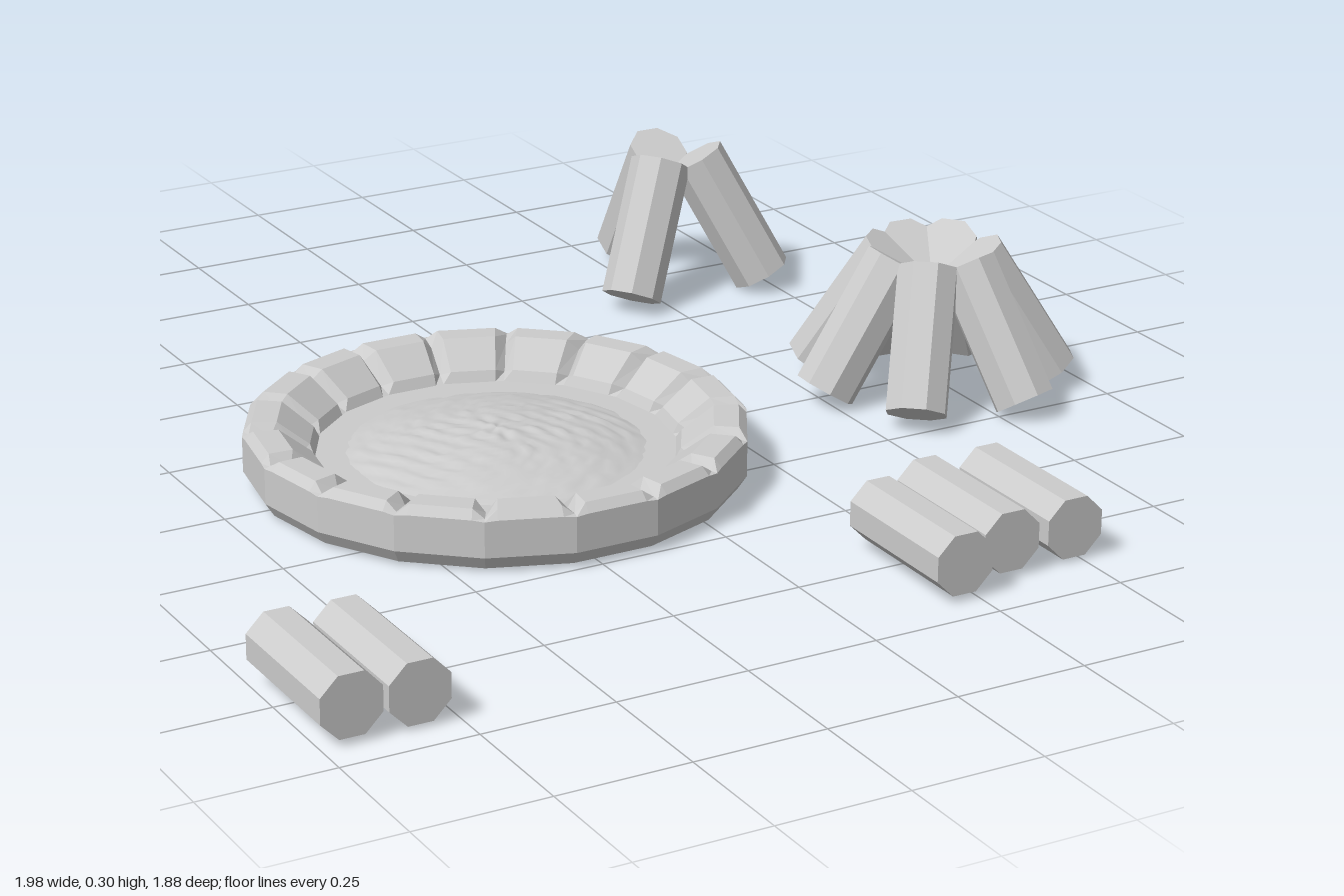
import * as THREE from 'three';

const stoneMat = new THREE.MeshStandardMaterial({ color: 0xcccccc, flatShading: true });
const ashMat = new THREE.MeshStandardMaterial({ color: 0xcccccc });

const LOG_LENGTH = 0.283;
const logGeo = new THREE.CylinderGeometry(0.0606, 0.0606, LOG_LENGTH, 8).rotateY(Math.PI / 8);

function makeLog(name, x, y, z, tilt, yaw) {
  const log = new THREE.Mesh(logGeo, stoneMat);
  log.name = name;
  log.position.set(x, y, z);
  log.rotation.set(tilt, yaw, 0, 'YXZ');
  return log;
}

// Logs leaning together; each angle is the way a foot points (0 = +x, 90 = -z)
function leaningStack(name, cx, cz, topRadius, footRadius, angles) {
  const group = new THREE.Group();
  group.name = name;
  const tilt = Math.asin((footRadius - topRadius) / LOG_LENGTH);
  const mid = (topRadius + footRadius) / 2;
  for (const deg of angles) {
    const a = THREE.MathUtils.degToRad(deg);
    group.add(makeLog('leaningLog', cx + mid * Math.cos(a), 0.149, cz - mid * Math.sin(a), -tilt, a + Math.PI / 2));
  }
  return group;
}

// Rows of logs lying along z: [x, y, z]
function lyingRow(name, spots) {
  const group = new THREE.Group();
  group.name = name;
  for (const [x, y, z] of spots) group.add(makeLog('lyingLog', x, y, z, Math.PI / 2, 0));
  return group;
}

// Ring of bevelled stones with a closed base and floor, swept from two profiles [radius, y]
function stoneRing() {
  const n = 18;
  const base = [[0, 0.004], [0.45, 0.004], [0.467, 0.03]];
  const floor = [[0.335, 0.05], [0, 0.05]];
  const crown = [...base, [0.467, 0.1], [0.452, 0.116], [0.405, 0.116], [0.345, 0.07], ...floor];
  const joint = [...base, [0.467, 0.098], [0.455, 0.1], [0.415, 0.095], [0.36, 0.06], ...floor];
  const columns = [[-0.5, joint], [-0.36, crown], [0.36, crown]];
  const step = (Math.PI * 2) / n;
  const positions = [], index = [];
  for (let i = 0; i < n; i++) {
    for (const [t, profile] of columns) {
      const a = Math.PI / 2 + (i + t) * step;
      const chord = Math.cos(step / 2) / Math.cos(t * step);
      for (const [r, y] of profile) positions.push(r * chord * Math.cos(a), y, r * chord * Math.sin(a));
    }
  }
  const p = crown.length, total = n * columns.length;
  for (let c = 0; c < total; c++) {
    const d = (c + 1) % total;
    for (let k = 0; k < p - 1; k++) {
      const a = c * p + k, b = d * p + k;
      if (k > 0) index.push(a, a + 1, b);
      if (k < p - 2) index.push(b, a + 1, b + 1);
      else index.push(a, a + 1, b);
    }
  }
  const geo = new THREE.BufferGeometry();
  geo.setAttribute('position', new THREE.Float32BufferAttribute(positions, 3));
  geo.setIndex(index);
  geo.computeVertexNormals();
  const mesh = new THREE.Mesh(geo, stoneMat);
  mesh.name = 'stoneRing';
  return mesh;
}

// Low mound with a rough surface that sinks into the floor at its edge
function ashMound() {
  const R = 0.29;
  const geo = new THREE.RingGeometry(0.001, R, 64, 24).rotateX(-Math.PI / 2);
  const pos = geo.attributes.position;
  for (let i = 0; i < pos.count; i++) {
    const x = pos.getX(i), z = pos.getZ(i);
    const f = 1 - (x * x + z * z) / (R * R);
    const bumps = Math.sin(83 * x + 3 * Math.sin(41 * z)) * Math.sin(97 * z + 2 * Math.sin(57 * x))
      + 0.6 * Math.sin(151 * x - 67 * z + 1.3);
    pos.setY(i, 0.046 + 0.042 * f + 0.0028 * bumps * Math.min(1, 4 * f));
  }
  geo.computeVertexNormals();
  const mesh = new THREE.Mesh(geo, ashMat);
  mesh.name = 'ashMound';
  return mesh;
}

export function createModel() {
  const model = new THREE.Group();
  model.name = 'campfireSet';

  const pit = new THREE.Group();
  pit.name = 'firePit';
  pit.position.set(-0.22, 0, 0.04);
  pit.add(stoneRing(), ashMound());
  model.add(pit);

  model.add(leaningStack('largeLogStack', 0.72, 0.05, 0.08, 0.23, [177, 131, 87, 39, -25, -71, -129]));
  model.add(leaningStack('smallLogStack', 0.575, -0.71, 0.05, 0.19, [90, -36, -144]));
  model.add(lyingRow('logPair', [[-0.945, 0.067, 0.793], [-0.823, 0.062, 0.793]]));
  model.add(lyingRow('logTrio', [[0.22, 0.067, 0.793], [0.345, 0.067, 0.75], [0.482, 0.062, 0.743]]));
  return model;
}
